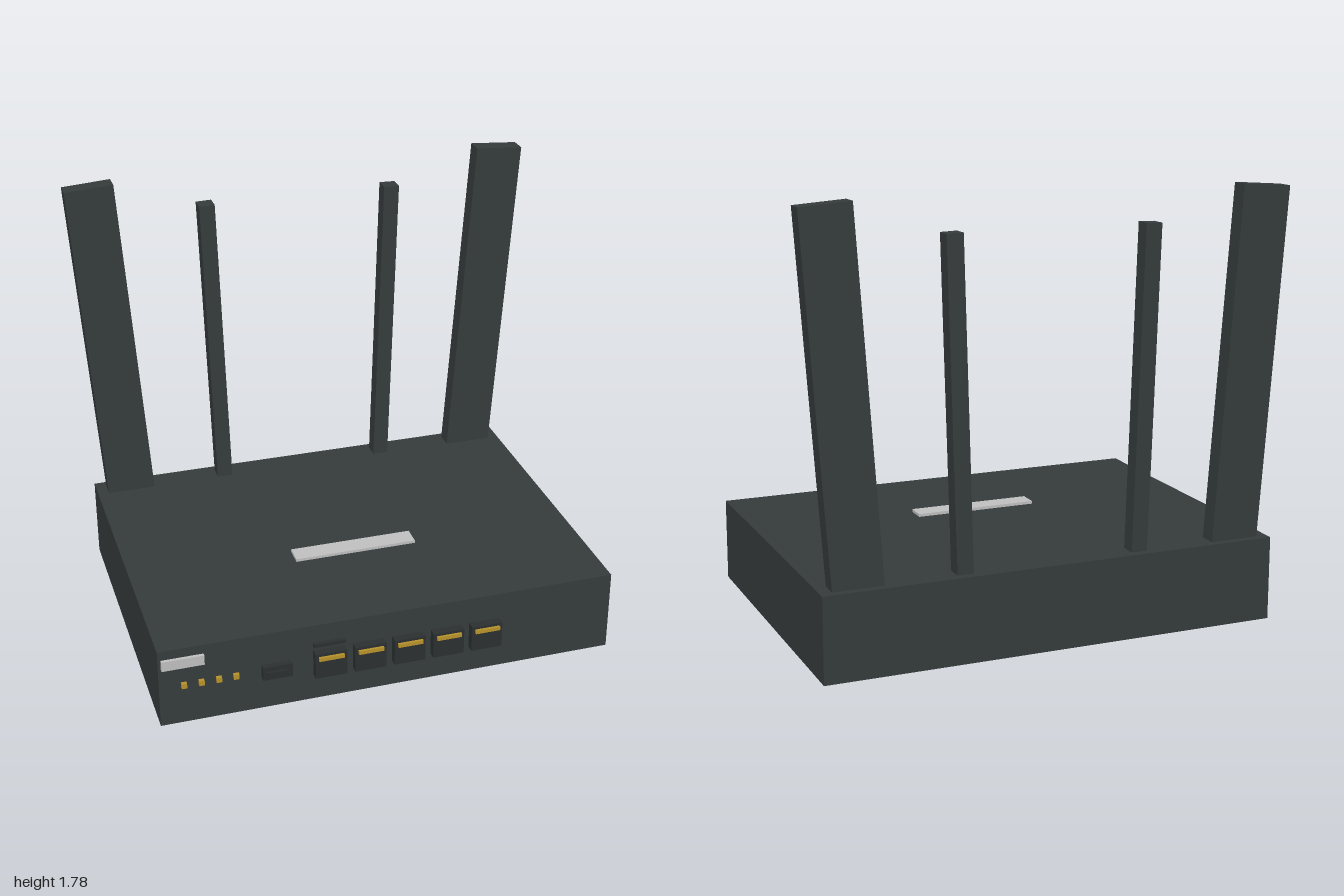
import * as THREE from 'three';

const material = (name, color) => {
  const m = new THREE.MeshStandardMaterial({ color });
  m.name = name;
  return m;
};

export function createModel() {
  const shell = material('charcoal shell', 0x353b3b);
  const trim = material('dark port trim', 0x2b3030);
  const silver = material('silver', 0xc0c0c0);
  const gold = material('gold', 0xb8922a);

  const router = new THREE.Group();
  router.name = 'router';

  // Box given by its lower and upper bounds
  const block = (name, mat, [x0, x1], [y0, y1], [z0, z1], parent = router) => {
    const mesh = new THREE.Mesh(new THREE.BoxGeometry(x1 - x0, y1 - y0, z1 - z0), mat);
    mesh.position.set((x0 + x1) / 2, (y0 + y1) / 2, (z0 + z1) / 2);
    mesh.name = name;
    parent.add(mesh);
    return mesh;
  };

  const front = 0.662, top = 0.345;
  block('body', shell, [-0.947, 0.947], [0, top], [-0.715, front]);

  // Antennas lean outwards from the rear edge of the lid
  const antenna = (name, baseX, tipX, tipY, width, depth) => {
    const dx = tipX - baseX, dy = tipY - top;
    const length = Math.hypot(dx, dy), sunk = 0.03;
    const pivot = new THREE.Group();
    pivot.name = name;
    pivot.position.set(baseX, top, -0.648);
    pivot.rotation.z = -Math.atan2(dx, dy);
    block(name + 'Blade', shell, [-width / 2, width / 2], [-sunk, length], [-depth / 2, depth / 2], pivot);
    router.add(pivot);
  };
  for (const [side, s] of [['left', 1], ['right', -1]]) {
    antenna(side + 'OuterAntenna', s * 0.797, s * 0.897, 1.768, 0.205, 0.074);
    antenna(side + 'InnerAntenna', s * 0.369, s * 0.407, 1.641, 0.067, 0.066);
  }

  // Silver plates on the lid and front
  block('lidPlate', silver, [-0.26, 0.26], [top, 0.357], [0.105, 0.188]);
  block('frontPlate', silver, [-0.935, -0.765], [0.262, 0.305], [front, 0.676]);

  // Status lights
  for (let i = 0; i < 4; i++) {
    const x = -0.849 + i * 0.0695;
    block('statusLight', gold, [x - 0.011, x + 0.011], [0.167, 0.189], [front, 0.678]);
  }

  // Small socket with a raised tongue
  block('smallSocket', trim, [-0.537, -0.417], [0.145, 0.204], [front, 0.688]);
  block('smallSocketTongue', trim, [-0.522, -0.432], [0.166, 0.184], [0.688, 0.696]);

  // Network ports with gold contacts
  for (let i = 0; i < 5; i++) {
    const x = -0.261 + i * 0.164;
    block('networkPort', trim, [x - 0.065, x + 0.065], [0.117, 0.23], [front, 0.697]);
    block('portContacts', gold, [x - 0.052, x + 0.052], [0.202, 0.218], [0.697, 0.708]);
  }
  block('portMarker', trim, [-0.326, -0.196], [0.25, 0.266], [front, 0.678]);

  return router;
}
